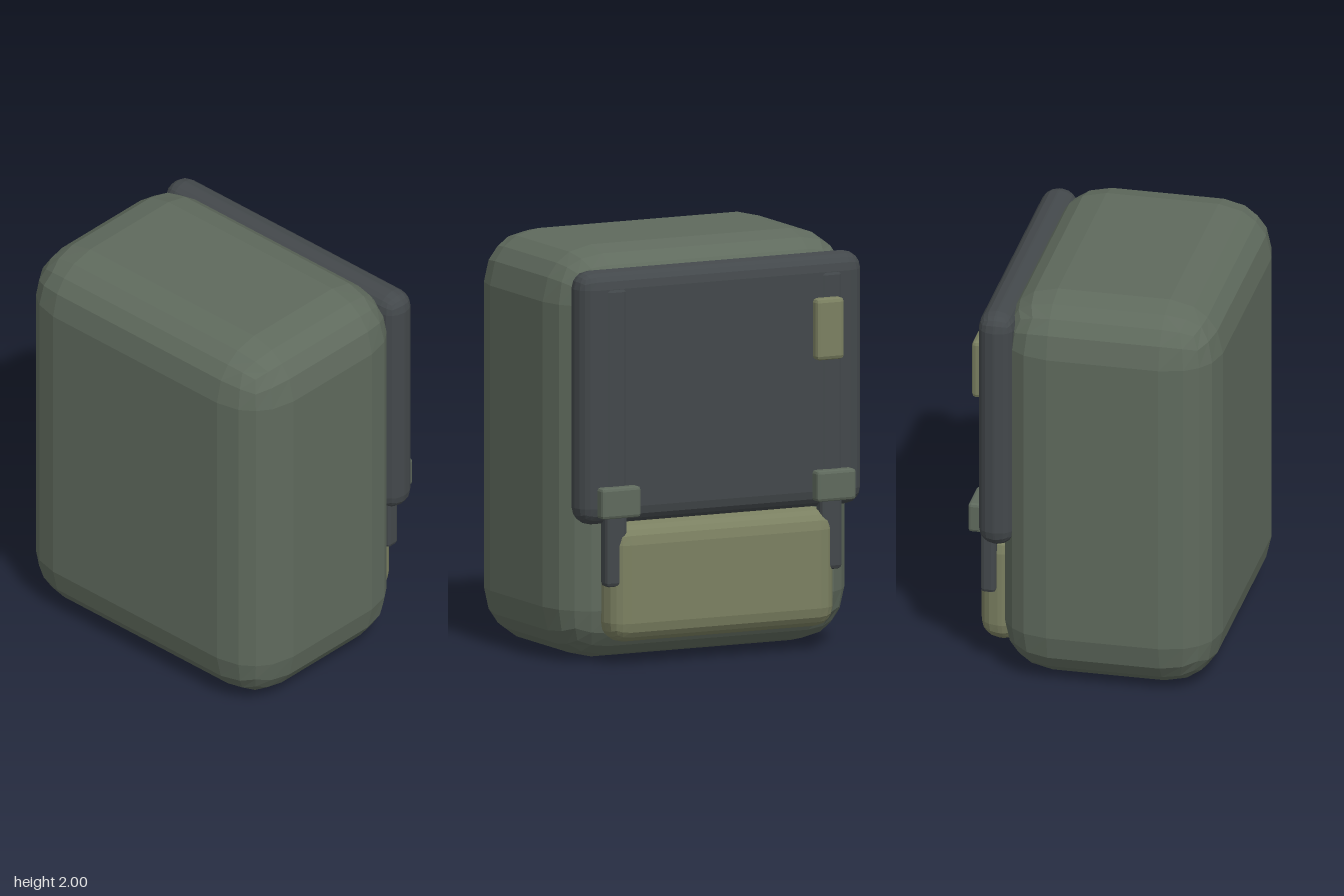
import * as THREE from 'three';
import { RoundedBoxGeometry } from 'three/addons/geometries/RoundedBoxGeometry.js';

const material = (name, color) => {
  const m = new THREE.MeshStandardMaterial({ color });
  m.name = name;
  return m;
};

export function createModel() {
  const green = material('field green', 0x5f6a5d);
  const olive = material('pale olive', 0x7b8061);
  const dark = material('dark slate', 0x43484b);

  const group = new THREE.Group();
  group.name = 'backpack';

  // Faceted rounded box given by its [min, max] ranges
  function block(name, mat, [x0, x1], [y0, y1], [z0, z1], radius, segments) {
    const geo = new RoundedBoxGeometry(x1 - x0, y1 - y0, z1 - z0, segments, radius);
    geo.computeVertexNormals(); // flat facets
    const mesh = new THREE.Mesh(geo, mat);
    mesh.name = name;
    mesh.position.set((x0 + x1) / 2, (y0 + y1) / 2, (z0 + z1) / 2);
    group.add(mesh);
  }

  // Main bag, back panel and lower pocket
  block('mainBag', green, [-0.797, 0.797], [0, 2], [-0.46, 0.61], 0.26, 2);
  block('backPanel', dark, [-0.765, 0.765], [0.69, 1.92], [-0.555, -0.375], 0.085, 2);
  block('lowerPocket', olive, [-0.61, 0.61], [0.11, 0.69], [-0.58, -0.36], 0.1, 2);

  // Strap and buckle on each side
  for (const [side, x] of [['left', 0.58], ['right', -0.58]]) {
    block(side + 'Strap', dark, [x - 0.057, x + 0.057], [0.39, 1.84], [-0.56, -0.485], 0.02, 1);
    block(side + 'Buckle', green, [x - 0.105, x + 0.105], [0.73, 0.88], [-0.61, -0.54], 0.015, 1);
  }

  // Tag on the right strap
  block('strapTag', olive, [-0.625, -0.475], [1.415, 1.715], [-0.606, -0.54], 0.02, 1);

  return group;
}
